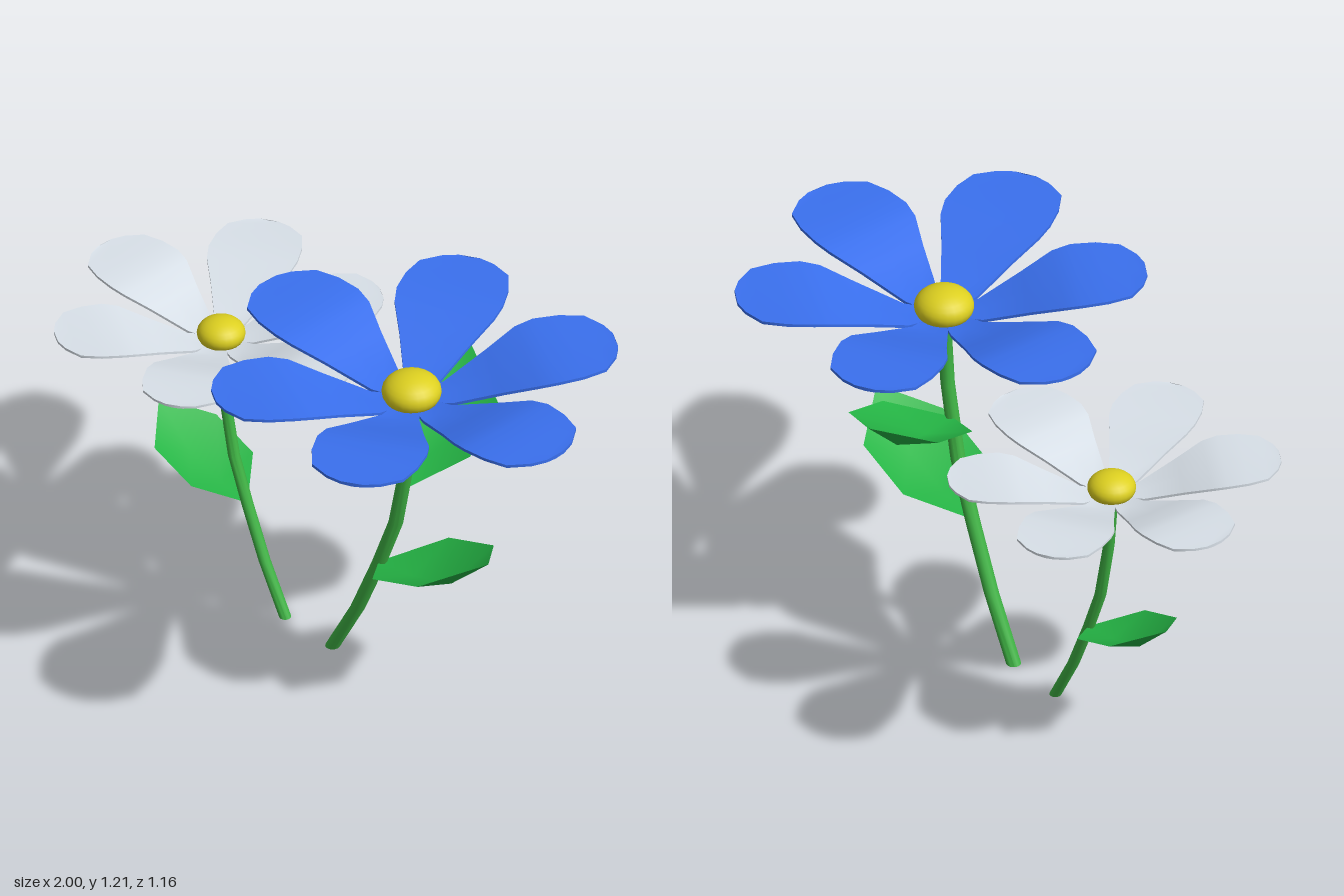
import * as THREE from 'three';
import { toCreasedNormals } from 'three/addons/utils/BufferGeometryUtils.js';

const material = (color, side = THREE.FrontSide) => new THREE.MeshStandardMaterial({ color, side });
const stemGreen = material(0x3fb344);
const leafGreen = material(0x25b545, THREE.DoubleSide);
const yellow = material(0xddd020);

function mesh(name, geometry, mat) {
  const m = new THREE.Mesh(geometry, mat);
  m.name = name;
  return m;
}

// Skin cross-sections that follow one another along +x
function loft(rings, closed, crease) {
  const n = rings[0].length;
  const index = [];
  for (let i = 0; i < rings.length - 1; i++) {
    for (let j = 0; j < (closed ? n : n - 1); j++) {
      const k = (j + 1) % n;
      const a = i * n + j, b = i * n + k, c = b + n, d = a + n;
      index.push(a, b, c, a, c, d);
    }
  }
  if (closed) {
    const end = (rings.length - 1) * n;
    for (let j = 1; j < n - 1; j++) index.push(end, end + j, end + j + 1);
  }
  const g = new THREE.BufferGeometry();
  g.setAttribute('position', new THREE.Float32BufferAttribute(rings.flat(2), 3));
  g.setIndex(index);
  return toCreasedNormals(g, crease);
}

// Petal: [distance out, height, half width]
const petalStations = [
  [0, 0, 0.02], [0.115, 0.003, 0.06], [0.26, 0.058, 0.118], [0.36, 0.096, 0.163],
  [0.42, 0.108, 0.174], [0.5, 0.112, 0.168], [0.575, 0.113, 0.145],
  [0.62, 0.113, 0.085], [0.638, 0.113, 0.035],
];
function petalGeometry() {
  const t = 0.005;
  return loft(petalStations.map(([x, y, w]) => [
    [x, y + t + 0.003, -w], [x, y + t, 0], [x, y + t + 0.003, w],
    [x, y - t + 0.003, w], [x, y - t, 0], [x, y - t + 0.003, -w],
  ]), true, 0.8);
}

// Leaf folded along its keel: [edge x, edge y, half width, keel x, keel y]
const leafStations = [
  [0, 0, 0, 0, 0], [0.14, 0.082, 0.16, 0.15, 0.022],
  [0.34, 0.155, 0.16, 0.32, 0.08], [0.485, 0.235, 0, 0.485, 0.235],
];
function leafGeometry() {
  return loft(leafStations.map(([x, y, w, kx, ky]) =>
    [[x, y, -w], [kx, ky, 0], [x, y, w]]), false, 1.0);
}

// Stem with flared calyx: [height, sideways bend, radius]
const stemStations = [
  [0, 0, 0.023], [0.2, 0.112, 0.023], [0.41, 0.205, 0.023], [0.6, 0.28, 0.023],
  [0.85, 0.332, 0.022], [1.02, 0.348, 0.023], [1.06, 0.35, 0.034], [1.086, 0.35, 0.075],
];
function stemGeometry() {
  const profile = [[0, 0], ...stemStations.map(([y, , r]) => [r, y]), [0, 1.088]];
  const g = new THREE.LatheGeometry(profile.map(([r, y]) => new THREE.Vector2(r, y)), 12);
  const p = g.attributes.position;
  for (let i = 0; i < p.count; i++) {
    const y = p.getY(i);
    const s = stemStations.findIndex((st) => st[0] >= y - 1e-4);
    p.setX(i, p.getX(i) + (s < 0 ? 0.35 : stemStations[s][1]));
  }
  return toCreasedNormals(g, 0.7);
}

// A flower rooted at its own origin and leaning towards +x
function flower(name, petalColor, leaves) {
  const group = new THREE.Group();
  group.name = name;
  group.add(mesh('stem', stemGeometry(), stemGreen));

  const head = new THREE.Group();
  head.name = 'flowerHead';
  head.position.set(0.35, 1.09, 0);
  const petal = petalGeometry();
  const petalMaterial = material(petalColor, THREE.DoubleSide);
  for (let i = 0; i < 6; i++) {
    const m = mesh('petal', petal, petalMaterial);
    m.rotation.y = (i * Math.PI) / 3;
    m.scale.setScalar(i === 2 || i === 4 ? 0.97 : 1);
    head.add(m);
  }
  const centre = mesh('flowerCentre', new THREE.SphereGeometry(0.092, 24, 14), yellow);
  centre.scale.y = 0.65;
  centre.position.y = 0.035;
  head.add(centre);
  group.add(head);

  const leaf = leafGeometry();
  for (const [x, y, turn] of leaves) {
    const m = mesh('leaf', leaf, leafGreen);
    m.position.set(x, y, 0);
    m.rotation.y = turn;
    group.add(m);
  }
  return group;
}

export function createModel() {
  const model = new THREE.Group();
  model.name = 'twoFlowers';

  const tall = flower('blueFlower', 0x3a70ee, [[0.205, 0.417, 0], [0.312, 0.737, 1.943]]);
  tall.position.x = 0.012;

  const short = flower('whiteFlower', 0xd8e0e8, [[0.205, 0.417, 0]]);
  short.position.x = -0.198;
  short.rotation.y = Math.PI;
  short.scale.setScalar(0.81);

  model.add(tall, short);
  return model;
}
